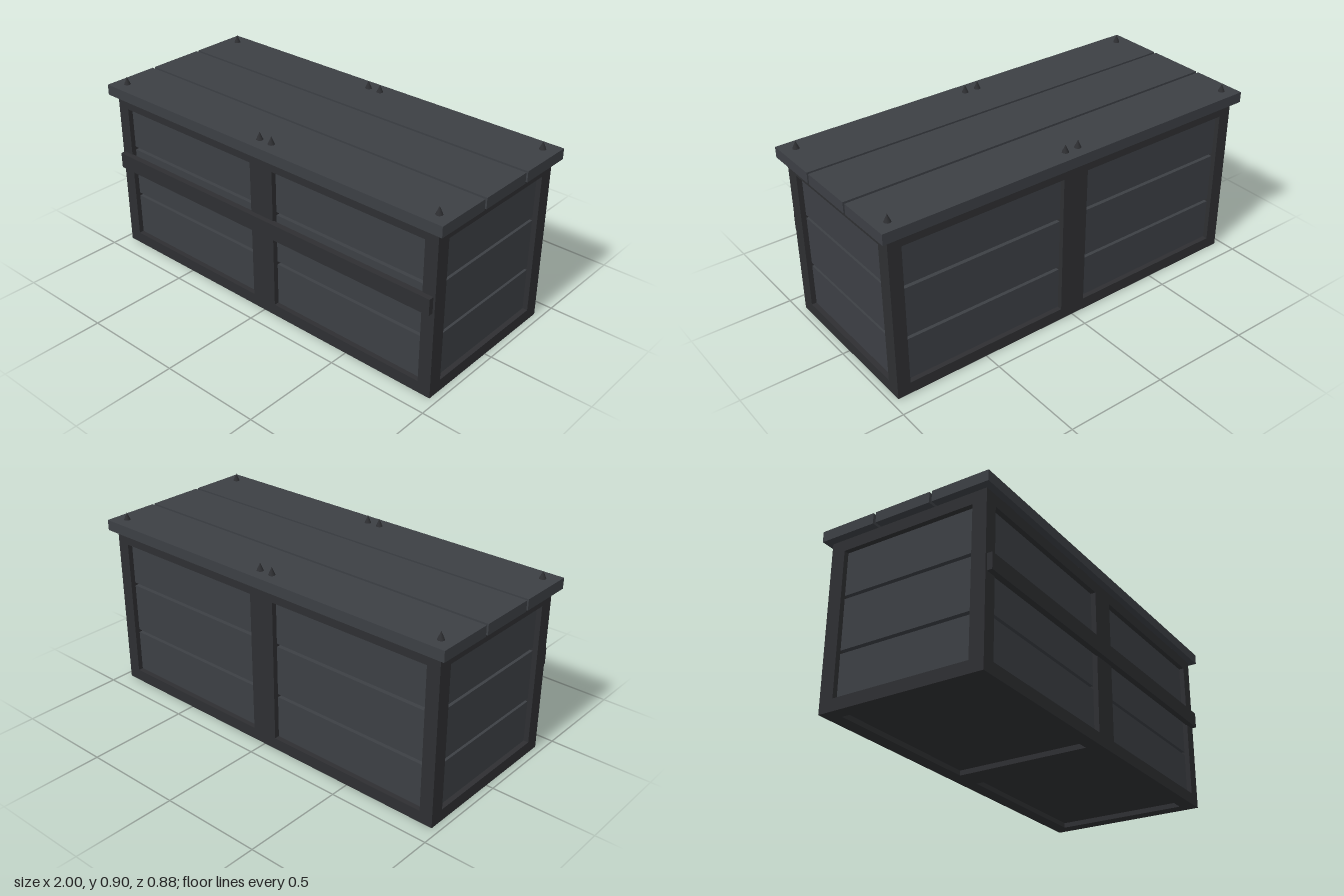
import * as THREE from 'three';

export function createModel() {
  const model = new THREE.Group();
  model.name = 'storageChest';
  const frameMat = new THREE.MeshStandardMaterial({ color: 0x2e2f32 });
  const plankMat = new THREE.MeshStandardMaterial({ color: 0x3c3f44 });

  // Box given by its lower and upper corners
  function box(parent, name, mat, [x0, y0, z0], [x1, y1, z1]) {
    const mesh = new THREE.Mesh(new THREE.BoxGeometry(x1 - x0, y1 - y0, z1 - z0), mat);
    mesh.position.set((x0 + x1) / 2, (y0 + y1) / 2, (z0 + z1) / 2);
    mesh.name = name;
    parent.add(mesh);
  }
  function group(name) {
    const g = new THREE.Group();
    g.name = name;
    model.add(g);
    return g;
  }

  const X = 0.965, Z = 0.407, H = 0.813;      // outer frame
  const xi = 0.9, xc = 0.067, zi = 0.337;     // openings
  const y0 = 0.058, y1 = 0.757;
  const recess = 0.025, thick = 0.025;
  const sides = [-1, 1];
  const postSpans = [[-X, -xi], [-xc, xc], [xi, X]];
  const baySpans = [[-xi, -xc], [xc, xi]];
  const railSpans = [[0, y0], [y1, H]];
  const span = (s, a, b) => (s > 0 ? [a, b] : [-b, -a]);

  // Frame: posts, long rails and cross rails
  const frame = group('frame');
  for (const s of sides) {
    const [za, zb] = span(s, zi, Z);
    for (const [a, b] of postSpans) box(frame, 'post', frameMat, [a, y0, za], [b, y1, zb]);
    for (const [a, b] of railSpans) box(frame, 'longRail', frameMat, [-X, a, za], [X, b, zb]);
  }
  for (const [xa, xb] of postSpans)
    for (const [a, b] of railSpans) box(frame, 'crossRail', frameMat, [xa, a, -zi], [xb, b, zi]);

  // Wall planks, recessed behind the frame with gaps between rows
  const walls = group('wallPlanks');
  for (const [a, b] of [[y0 - 0.01, 0.269], [0.285, 0.53], [0.546, y1 + 0.01]]) {
    for (const s of sides) {
      const [za, zb] = span(s, Z - recess - thick, Z - recess);
      for (const [xa, xb] of baySpans)
        box(walls, 'longWallPlank', plankMat, [xa - 0.01, a, za], [xb + 0.01, b, zb]);
      const [xa, xb] = span(s, X - recess - thick, X - recess);
      box(walls, 'endWallPlank', plankMat, [xa, a, -zi - 0.01], [xb, b, zi + 0.01]);
    }
  }

  // Floor and inner ceiling panels
  const panels = group('innerPanels');
  for (const [xa, xb] of baySpans) {
    box(panels, 'floorPanel', frameMat, [xa, recess, -zi], [xb, recess + thick, zi]);
    box(panels, 'ceilingPanel', frameMat, [xa, H - 0.04, -zi], [xb, H - 0.015, zi]);
  }

  // Lid boards resting on thin battens
  const lid = group('lid');
  for (const [za, zb] of [[-0.437, -0.155], [-0.141, 0.142], [0.155, 0.438]])
    box(lid, 'lidBoard', plankMat, [-1, 0.816, za], [1, 0.868, zb]);
  for (const x of [-0.8, -0.18, 0.18, 0.8])
    box(lid, 'lidBatten', frameMat, [x - 0.04, H - 0.016, -Z], [x + 0.04, 0.817, Z]);

  // Strap across the front
  box(model, 'frontStrap', frameMat, [-0.955, 0.431, Z - 0.005], [0.955, 0.51, 0.432]);

  // Pointed studs on the lid
  const studs = group('studs');
  const studGeo = new THREE.ConeGeometry(0.016, 0.037, 12);
  for (const x of [-0.934, -0.035, 0.035, 0.934])
    for (const s of sides) {
      const stud = new THREE.Mesh(studGeo, frameMat);
      stud.name = 'stud';
      stud.position.set(x, 0.8865, s * 0.371);
      studs.add(stud);
    }

  return model;
}
